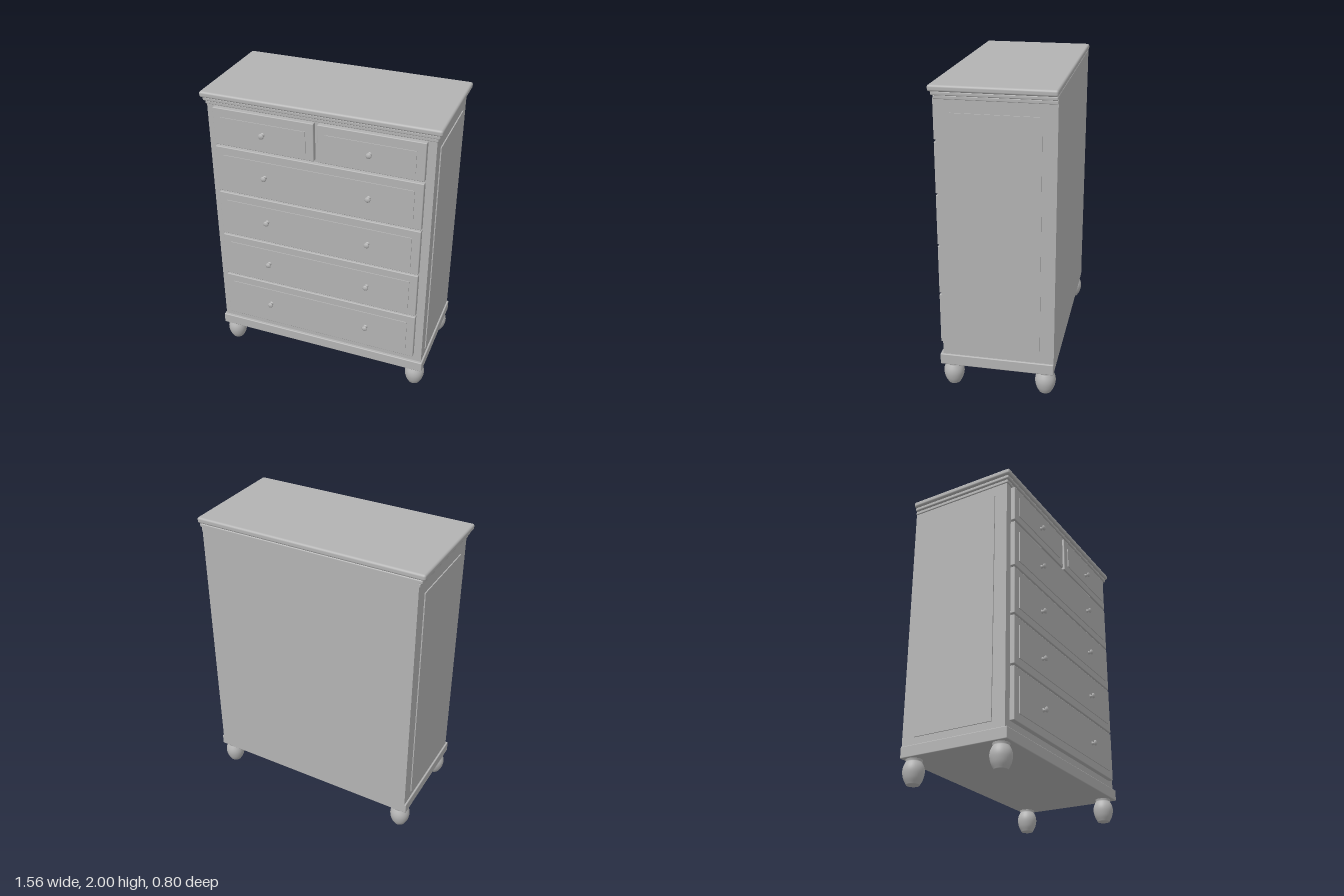
import * as THREE from 'three';
import { RoundedBoxGeometry } from 'three/addons/geometries/RoundedBoxGeometry.js';

export function createModel() {
  const model = new THREE.Group();
  model.name = 'chestOfDrawers';
  const paint = new THREE.MeshStandardMaterial({ color: 0xb3b3b3 });
  paint.name = 'grey paint';

  const add = (name, geometry, parent = model) => {
    const mesh = new THREE.Mesh(geometry, paint);
    mesh.name = name;
    parent.add(mesh);
    return mesh;
  };

  // Box given by its limits, with optionally rounded edges
  const block = (name, [x0, x1], [y0, y1], [z0, z1], r = 0, parent = model) => {
    const size = [x1 - x0, y1 - y0, z1 - z0];
    const geometry = r ? new RoundedBoxGeometry(...size, 3, r) : new THREE.BoxGeometry(...size);
    const mesh = add(name, geometry, parent);
    mesh.position.set((x0 + x1) / 2, (y0 + y1) / 2, (z0 + z1) / 2);
    return mesh;
  };

  const lathe = (points, segments) =>
    new THREE.LatheGeometry(points.map(([r, y]) => new THREE.Vector2(r, y)), segments);

  // Carcass, plinth and stepped crown
  const back = -0.392;
  block('carcass', [-0.743, 0.743], [0.16, 1.95], [back, 0.33]);
  block('plinth', [-0.755, 0.755], [0.155, 0.23], [back, 0.349], 0.006);
  block('lowerMoulding', [-0.75, 0.75], [1.913, 1.936], [back, 0.339], 0.005);
  block('upperMoulding', [-0.762, 0.762], [1.936, 1.962], [back, 0.35], 0.008);
  block('topBoard', [-0.778, 0.778], [1.96, 2], [-0.395, 0.364], 0.014);

  // Raised side panels
  for (const s of [-1, 1]) {
    const x = s > 0 ? [0.74, 0.75] : [-0.75, -0.74];
    block(s > 0 ? 'leftSidePanel' : 'rightSidePanel', x, [0.278, 1.835], [-0.302, 0.242]);
  }

  // Mushroom knob, turned along z
  const knobGeometry = lathe([
    [0.014, 0], [0.013, 0.003], [0.008, 0.006], [0.008, 0.014], [0.015, 0.018],
    [0.0185, 0.023], [0.0175, 0.028], [0.011, 0.032], [0, 0.034],
  ], 20).rotateX(Math.PI / 2);

  const drawer = (name, x, y, panelX, panelY, knobY, knobs) => {
    const group = new THREE.Group();
    group.name = name;
    model.add(group);
    block('drawerFront', x, y, [0.322, 0.36], 0.005, group);
    block('raisedPanel', panelX, panelY, [0.35, 0.366], 0, group);
    for (const kx of knobs) add('knob', knobGeometry, group).position.set(kx, knobY, 0.366);
  };

  // Two half drawers at the top
  const topY = [1.652, 1.907], topPanelY = [1.702, 1.848];
  drawer('topRightDrawer', [-0.692, -0.013], topY, [-0.64, -0.066], topPanelY, 1.777, [-0.35]);
  drawer('topLeftDrawer', [0.011, 0.69], topY, [0.062, 0.635], topPanelY, 1.777, [0.35]);

  // Four full-width drawers: bottom, top, panel bottom, panel top, knob height
  [
    [1.312, 1.638, 1.363, 1.582, 1.475],
    [0.974, 1.3, 1.026, 1.245, 1.137],
    [0.637, 0.962, 0.69, 0.91, 0.8],
    [0.283, 0.625, 0.337, 0.572, 0.455],
  ].forEach(([y0, y1, p0, p1, ky], i) =>
    drawer('wideDrawer' + (i + 1), [-0.692, 0.69], [y0, y1], [-0.639, 0.636], [p0, p1], ky, [-0.35, 0.35]));

  // Turned bun feet
  const bulge = new THREE.SplineCurve([
    [0.042, 0.004], [0.058, 0.035], [0.067, 0.075], [0.064, 0.108], [0.051, 0.138],
  ].map(([x, y]) => new THREE.Vector2(x, y))).getPoints(16).map(p => [p.x, p.y]);
  const footGeometry = lathe([[0, 0], [0.04, 0], ...bulge, [0.047, 0.143], [0.052, 0.15], [0.052, 0.16]], 32);
  for (const x of [-0.69, 0.69])
    for (const z of [0.275, -0.333])
      add(z > 0 ? 'frontFoot' : 'backFoot', footGeometry).position.set(x, 0, z);

  return model;
}
